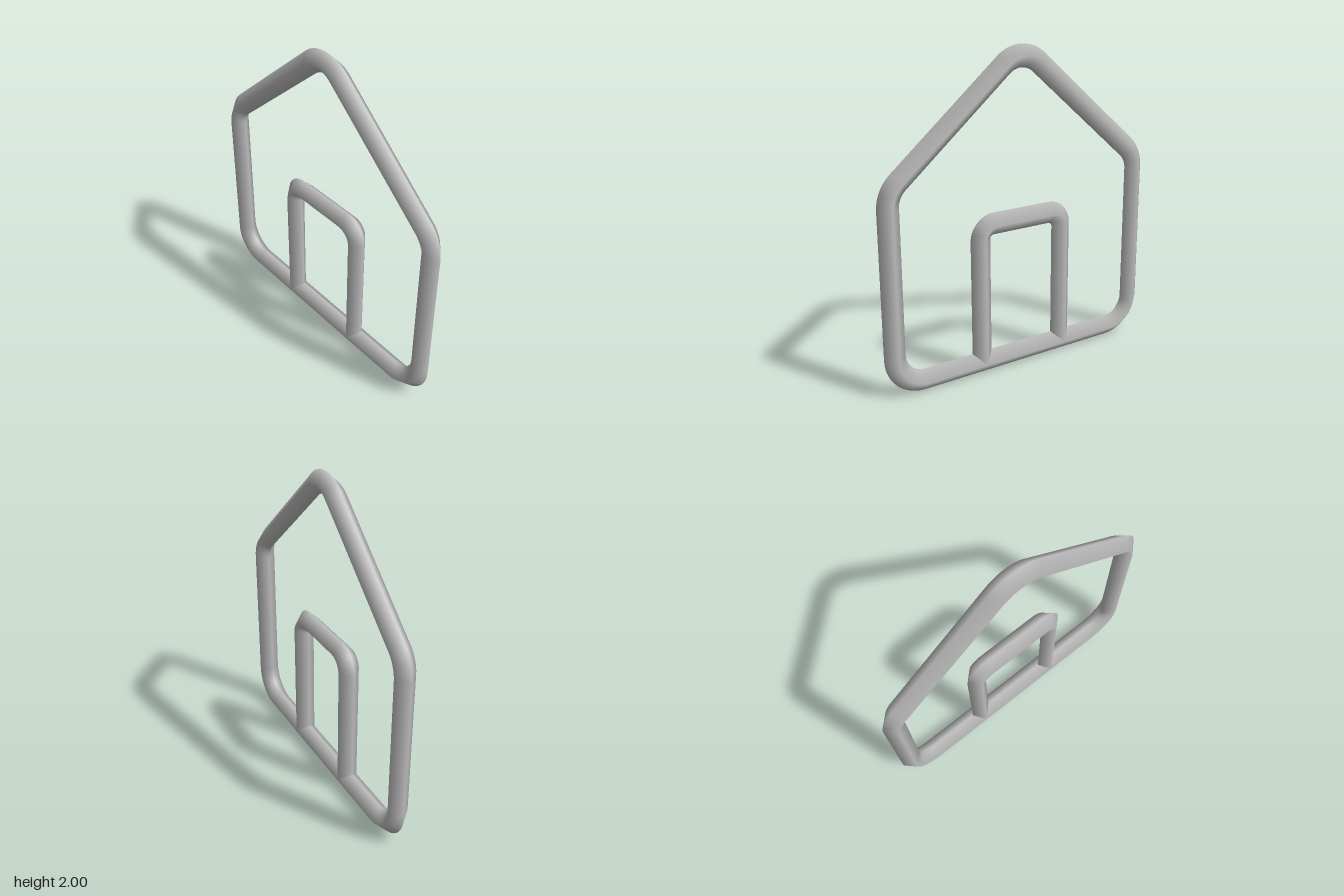
import * as THREE from 'three';

const R = 0.0685; // half diagonal of the diamond-shaped bar

// Samples {p, t} (point, tangent) along a polyline whose inner corners are arcs.
function roundedPath(corners, radius, closed, steps = 12) {
  const pts = corners.map(([x, y]) => new THREE.Vector2(x, y));
  const n = pts.length;
  const out = [];
  const dir = (a, b) => b.clone().sub(a).normalize();
  pts.forEach((c, i) => {
    if (!closed && (i === 0 || i === n - 1)) {
      out.push({ p: c, t: i === 0 ? dir(c, pts[1]) : dir(pts[n - 2], c) });
      return;
    }
    const d1 = dir(pts[(i + n - 1) % n], c);
    const d2 = dir(c, pts[(i + 1) % n]);
    const turn = Math.atan2(d1.cross(d2), d1.dot(d2));
    const r = radius * Math.sign(turn);
    const start = c.clone().addScaledVector(d1, -radius * Math.tan(Math.abs(turn) / 2));
    const centre = start.add(new THREE.Vector2(-d1.y * r, d1.x * r));
    for (let s = 0; s <= steps; s++) {
      const t = d1.clone().rotateAround(new THREE.Vector2(), (turn * s) / steps);
      out.push({ p: new THREE.Vector2(centre.x + t.y * r, centre.y - t.x * r), t });
    }
  });
  if (closed) out.push(out[0]);
  return out;
}

// Sweeps a smooth-shaded four-sided bar along the path.
function sweepBar(path) {
  const pos = [], nor = [], index = [];
  path.forEach(({ p, t }, i) => {
    for (let k = 0; k < 4; k++) {
      const c = Math.cos((k * Math.PI) / 2), s = Math.sin((k * Math.PI) / 2);
      const v = [t.y * c, -t.x * c, s];
      nor.push(...v);
      pos.push(p.x + v[0] * R, p.y + v[1] * R, v[2] * R);
      if (i < path.length - 1) {
        const a = i * 4 + k, b = i * 4 + ((k + 1) % 4);
        index.push(a, a + 4, b, b, a + 4, b + 4);
      }
    }
  });
  const g = new THREE.BufferGeometry();
  g.setAttribute('position', new THREE.Float32BufferAttribute(pos, 3));
  g.setAttribute('normal', new THREE.Float32BufferAttribute(nor, 3));
  g.setIndex(index);
  return g;
}

export function createModel() {
  const group = new THREE.Group();
  group.name = 'houseOutline';
  const grey = new THREE.MeshStandardMaterial({ color: 0xc0c0c0 });
  grey.name = 'light grey';

  const add = (name, path) => {
    const mesh = new THREE.Mesh(sweepBar(path), grey);
    mesh.name = name;
    group.add(mesh);
  };

  // Closed outline: floor, walls and pitched roof
  const w = 0.8815;
  add('houseFrame', roundedPath(
    [[-w, 1.239], [-w, R], [w, R], [w, 1.239], [0, 1.991]], 0.19, true));

  // Door arch standing on the floor bar
  const d = 0.294;
  add('doorFrame', roundedPath(
    [[-d, R], [-d, 0.952], [d, 0.952], [d, R]], 0.092, false));

  return group;
}
